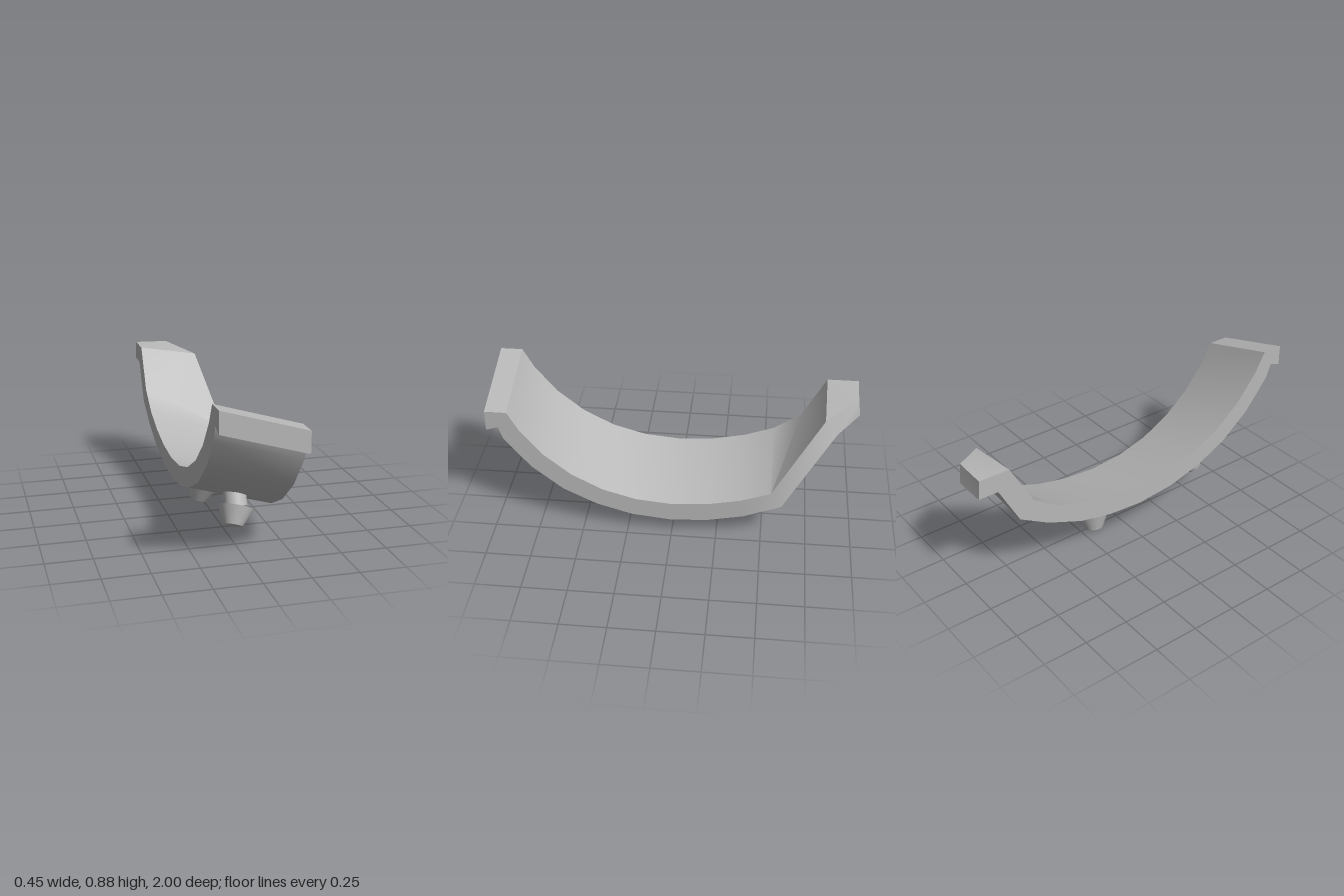
import * as THREE from 'three';
import { toCreasedNormals } from 'three/addons/utils/BufferGeometryUtils.js';

const HALF = 0.225;   // half width of the band
const RISE = 0.13;    // the band climbs this much from +x to -x

// Lofts four-cornered sections [outerL, outerR, innerR, innerL], front to back
function loft(sections) {
  const pos = [];
  const tri = (a, b, c) => {
    const [A, B, C] = [a, b, c].map(p => new THREE.Vector3(...p));
    if (new THREE.Triangle(A, B, C).getArea() > 1e-7) pos.push(...a, ...b, ...c);
  };
  for (let i = 0; i < sections.length - 1; i++) {
    for (let j = 0; j < 4; j++) {
      const k = (j + 1) % 4;
      const a = sections[i][j], b = sections[i][k];
      const c = sections[i + 1][k], d = sections[i + 1][j];
      if (j < 2) { tri(a, c, b); tri(a, d, c); }
      else { tri(a, d, b); tri(b, d, c); }
    }
  }
  const f = sections[0], e = sections[sections.length - 1];
  tri(f[0], f[1], f[2]); tri(f[0], f[2], f[3]);
  tri(e[0], e[2], e[1]); tri(e[0], e[3], e[2]);
  const g = new THREE.BufferGeometry();
  g.setAttribute('position', new THREE.Float32BufferAttribute(pos, 3));
  return toCreasedNormals(g, 0.6);
}

// Cylinder or cone running from one point to another
function rod(from, to, rFrom, rTo, material, name) {
  const axis = to.clone().sub(from);
  const geo = toCreasedNormals(new THREE.CylinderGeometry(rTo, rFrom, axis.length(), 32), 0.6);
  const mesh = new THREE.Mesh(geo, material);
  mesh.position.copy(from).add(to).multiplyScalar(0.5);
  mesh.quaternion.setFromUnitVectors(new THREE.Vector3(0, 1, 0), axis.normalize());
  mesh.name = name;
  return mesh;
}

export function createModel() {
  const model = new THREE.Group();
  model.name = 'curvedClip';
  const grey = new THREE.MeshStandardMaterial({ color: 0xb8b8b8 });
  grey.name = 'plain grey';

  // Profile on the +x edge as [z, y], starting at the front lip
  const outer = [[1, 0.64], [0.935, 0.66], [0.91, 0.585], [0.77, 0.41], [0.6, 0.27], [0.42, 0.18],
    [0.22, 0.12], [0, 0.097], [-0.2, 0.11], [-0.4, 0.152], [-0.605, 0.235]];
  const inner = [[1, 0.755], [0.88, 0.755], [0.82, 0.645], [0.7, 0.495], [0.55, 0.37], [0.38, 0.28],
    [0.2, 0.227], [0, 0.208], [-0.2, 0.222], [-0.38, 0.26], [-0.545, 0.32]];
  const left = ([z, y]) => [-HALF, y + RISE, z];
  const right = ([z, y]) => [HALF, y, z];
  const sections = outer.map((o, i) => [left(o), right(o), right(inner[i]), left(inner[i])]);

  // Back end: the -x edge runs on, then the lip with its cut corners
  const last = sections[sections.length - 1];
  sections.push(
    [[-HALF, 0.465, -0.775], last[1], last[2], [-HALF, 0.55, -0.69]],
    [[-HALF, 0.685, -0.89], [0.11, 0.655, -0.878], [0.11, 0.735, -0.81], [-HALF, 0.79, -0.82]],
    [[-HALF, 0.685, -1], [-0.045, 0.685, -1], [-0.035, 0.787, -0.985], [-HALF, 0.79, -0.99]],
  );
  const band = new THREE.Mesh(loft(sections), grey);
  band.name = 'curvedBand';
  model.add(band);

  // Push-in pegs: a shaft out of the band and a tapered head
  const pegs = [
    { name: 'frontPeg', rim: [0, 0.217, 0.517], tip: [-0.026, 0.134, 0.558], root: [0, 0.316, 0.47] },
    { name: 'backPeg', rim: [-0.002, 0.105, -0.172], tip: [-0.028, 0.016, -0.175], root: [0, 0.225, -0.172] },
  ];
  for (const p of pegs) {
    const [rim, tip, root] = [p.rim, p.tip, p.root].map(v => new THREE.Vector3(...v));
    const peg = new THREE.Group();
    peg.name = p.name;
    peg.add(rod(rim, root, 0.06, 0.06, grey, 'pegShaft'));
    peg.add(rod(tip, rim, 0.05, 0.095, grey, 'pegHead'));
    model.add(peg);
  }
  return model;
}
